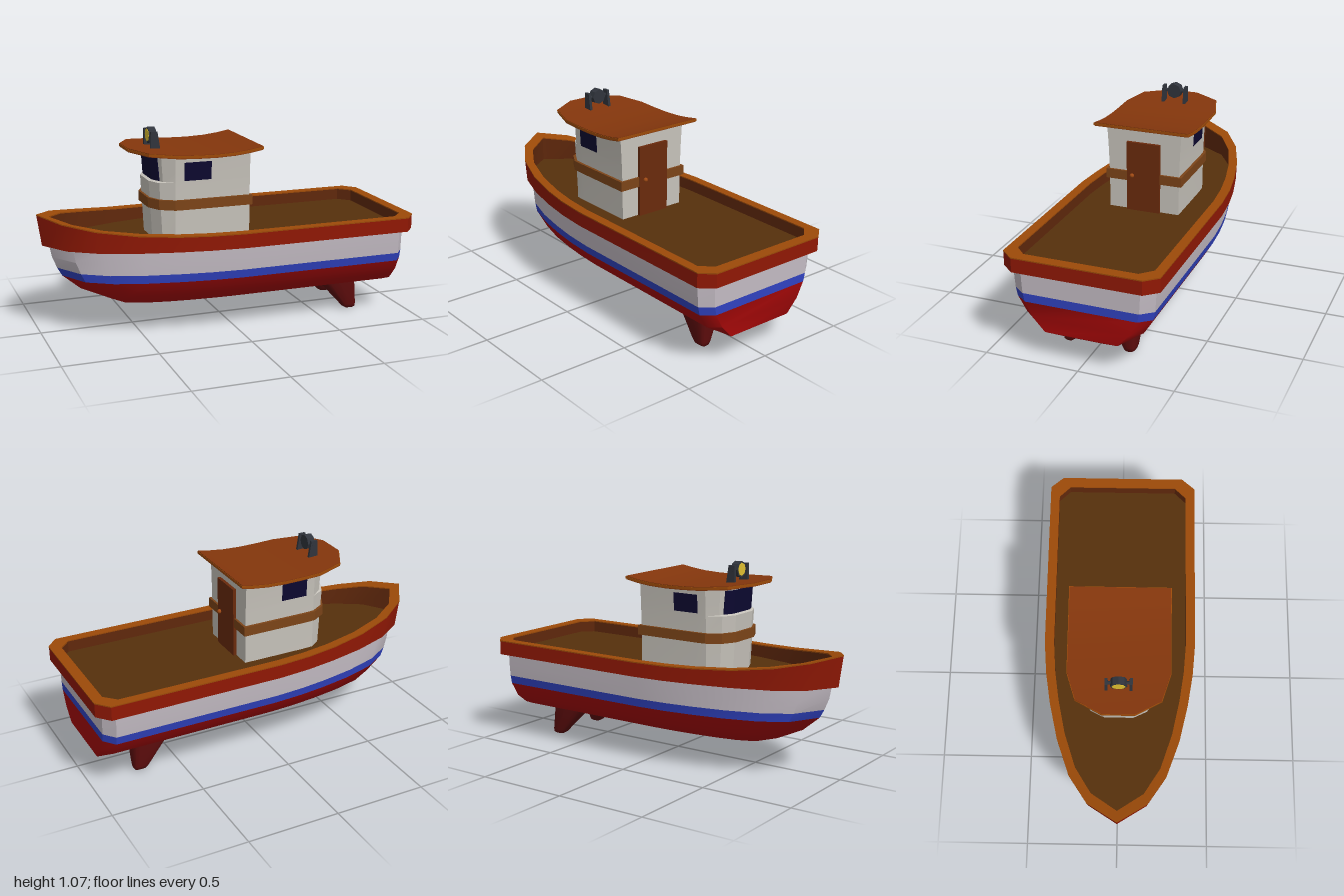
import * as THREE from 'three';
import { toCreasedNormals } from 'three/addons/utils/BufferGeometryUtils.js';

const mat = (color) => new THREE.MeshStandardMaterial({ color });
const HULL = mat(0xc2bac2), WALL = mat(0xc6c2ba), RED = mat(0xa80808), SKEG = mat(0x5c0c0c), BLUE = mat(0x3042c0),
  RAIL = mat(0x901804), LINING = mat(0x60280c), TRIM = mat(0x9c4a08), DECK = mat(0x56300c), ROOF = mat(0x84360c),
  DOOR = mat(0x6a2a0c), KNOB = mat(0xa04a14), BELT = mat(0x7c4418), GLASS = mat(0x0c0830),
  METAL = mat(0x30343c), LENS = mat(0xe0c030);

// Skin a list of closed rings of [x, y, z]; caps close the ends with a fan
function loft(rings, { start = false, end = false, crease = 0.5 } = {}) {
  const n = rings[0].length, pos = rings.flat(2), idx = [];
  for (let i = 0; i < rings.length - 1; i++) {
    for (let j = 0; j < n; j++) {
      const k = (j + 1) % n, a = i * n + j, b = i * n + k;
      idx.push(a, b, b + n, a, b + n, a + n);
    }
  }
  const cap = (r, flip) => {
    const c = pos.length / 3;
    for (let q = 0; q < 3; q++) pos.push(rings[r].reduce((s, p) => s + p[q], 0) / n);
    for (let j = 0; j < n; j++) {
      const a = r * n + j, b = r * n + (j + 1) % n;
      idx.push(c, flip ? b : a, flip ? a : b);
    }
  };
  if (start) cap(0, true);
  if (end) cap(rings.length - 1, false);
  const g = new THREE.BufferGeometry();
  g.setAttribute('position', new THREE.Float32BufferAttribute(pos, 3));
  g.setIndex(idx);
  return toCreasedNormals(g, crease);
}

// Mirror a half outline of [x, z] across z = 0 into a ring at height y(x)
function ringOf(half, y, sz = 1) {
  const h = typeof y === 'function' ? y : () => y;
  const back = half.filter((p) => p[1] > 0).reverse().map(([x, z]) => [x, -z]);
  return [...half, ...back].map(([x, z]) => [x, h(x), z * sz]);
}

// Boat plan: pointed bow, parallel sides, stern corners cut back to a share of the width
const BOW = [[0, 0], [0.1, 0.38], [0.25, 0.62], [0.45, 0.79], [0.65, 0.9], [0.82, 0.965], [1, 1]];
const plan = (bow, w, stern, cut, round = 1, share = 0.83) => [
  ...BOW.map(([s, f]) => [bow * (1 - s), w * Math.pow(f, round)]),
  [stern - cut, w], [stern, w * share],
];

export function createModel() {
  const boat = new THREE.Group();
  const add = (name, geometry, material, x = 0, y = 0, z = 0, parent = boat) => {
    const m = new THREE.Mesh(geometry, material);
    m.name = name;
    m.position.set(x, y, z);
    parent.add(m);
    return m;
  };

  // Hull levels: y, bow x, half width, stern x, bow roundness, transom share
  const levels = [
    [0.122, -0.41, 0.02, 0.9, 0.6, 1], [0.132, -0.47, 0.1, 0.92, 0.6, 0.98], [0.155, -0.63, 0.2, 0.953, 0.6, 0.96],
    [0.225, -0.78, 0.31, 0.955, 0.72, 0.82], [0.305, -0.875, 0.358, 0.955, 0.82, 0.825],
    [0.35, -0.9, 0.367, 0.955, 0.88, 0.83], [0.41, -0.925, 0.372, 0.955, 0.95, 0.83], [0.485, -0.94, 0.375, 0.955, 1, 0.83],
  ].map(([y, b, w, s, r, t]) => ringOf(plan(b, w, s, 0.05, r, t), y));
  add('lowerHull', loft(levels.slice(0, 5), { start: true, crease: 0.9 }), RED);
  add('hullStripe', loft(levels.slice(4, 6)), BLUE);
  add('upperHull', loft(levels.slice(5)), HULL);

  // Bulwark with sheer rising to the bow, wooden lining and a thin cap rail
  const sheer = (dy) => (x) => 0.557 + dy + 0.088 * Math.pow(Math.max(0, -x), 3);
  const inner = plan(-0.94, 0.36, 0.945, 0.06);
  add('bulwark', loft([
    ringOf(plan(-0.92, 0.355, 0.94, 0.05), 0.477),
    ringOf(plan(-0.975, 0.407, 0.998, 0.06), 0.477),
    ringOf(plan(-0.998, 0.407, 0.998, 0.06), sheer(-0.006)),
  ]), RAIL);
  add('bulwarkLining', loft([ringOf(inner, sheer(-0.006)), ringOf(inner, 0.49)]), LINING);
  const capIn = plan(-0.937, 0.358, 0.942, 0.06), capOut = plan(-1, 0.408, 1, 0.06);
  add('capRail', loft([ringOf(capIn, sheer(-0.006)), ringOf(capOut, sheer(-0.006)),
    ringOf(capOut, sheer(0)), ringOf(capIn, sheer(0)), ringOf(capIn, sheer(-0.006))]), TRIM);
  add('deck', loft([ringOf(inner, 0.488), ringOf(inner, 0.49)], { end: true }), DECK);

  // Cabin walls flare toward the roof; the front leans out, then steps back at the window
  const cabin = new THREE.Group();
  cabin.name = 'cabin';
  boat.add(cabin);
  const put = (name, g, m, x, y, z) => add(name, g, m, x, y, z, cabin);
  const walls = (front, o = 0) => [[front - o, 0.08 + o / 2], [front + 0.035 - o * 0.7, 0.155 + o * 0.7],
    [-0.31 - o * 0.3, 0.197 + o], [-0.25, 0.2 + o], [0.1 + o, 0.2 + o]];
  put('cabinWalls', loft([[0.485, 0.975, -0.403], [0.7, 0.985, -0.414], [0.795, 1, -0.419], [0.8, 1.001, -0.4],
    [0.85, 1.012, -0.403], [0.943, 1.04, -0.41]]
    .map(([y, s, f]) => ringOf(walls(f), y, s)), { end: true, crease: 0.3 }), WALL);
  put('cabinBelt', loft([0.655, 0.707].map((y) => ringOf(walls(-0.415, 0.012), y)),
    { start: true, end: true, crease: 0.3 }), BELT);

  // Windows, door and knob
  const pane = (f) => [[f, 0.08], [f + 0.025, 0.133], [-0.34, 0.133]];
  put('frontWindow', loft([[0.802, -0.405], [0.925, -0.413]].map(([y, f]) => ringOf(pane(f), y)),
    { start: true, end: true, crease: 0.3 }), GLASS);
  for (const s of [1, -1]) {
    put('sideWindow', new THREE.BoxGeometry(0.147, 0.097, 0.008), GLASS, -0.188, 0.855, s * 0.2)
      .rotation.x = s * 0.055;
  }
  put('door', new THREE.BoxGeometry(0.025, 0.39, 0.184), DOOR, 0.105, 0.68, 0);
  put('doorKnob', new THREE.SphereGeometry(0.012, 10, 8), KNOB, 0.124, 0.69, 0.06);

  // Sagging roof plank, skinned along x, with a lighter edge trim
  const sag = (x) => 0.948 + 0.025 * Math.pow((x + 0.1) / (x < -0.1 ? 0.43 : 0.25), 2);
  const roof = (grow, top, bottom) => loft(
    [[-0.527, 0.08], [-0.455, 0.215], [-0.31, 0.26], [-0.2, 0.261], [-0.1, 0.261], [0, 0.261], [0.08, 0.261], [0.15, 0.26]]
      .map(([x, w], i, all) => {
        const t = sag(x) + top, b = sag(x) - bottom, z = w + grow;
        const px = x + (i === 0 ? -grow : i === all.length - 1 ? grow : 0);
        return [[px, t, -z], [px, t, z], [px, b, z], [px, b, -z]];
      }), { start: true, end: true });
  put('roof', roof(0, 0.001, 0.019), ROOF);
  put('roofTrim', roof(0.003, -0.002, 0.015), TRIM);

  // Searchlight facing the bow between two tapered brackets
  const lamp = new THREE.Group();
  lamp.name = 'searchlight';
  lamp.position.set(-0.38, 1.022, 0);
  boat.add(lamp);
  const disc = (r0, r1, depth) => toCreasedNormals(
    new THREE.CylinderGeometry(r0, r1, depth, 8).rotateZ(Math.PI / 2), 0.3);
  add('lampBody', disc(0.043, 0.041, 0.04), METAL, 0, 0, 0, lamp);
  add('lampLens', disc(0.034, 0.034, 0.004), LENS, -0.0205, 0, 0, lamp);
  add('lampAxle', new THREE.CylinderGeometry(0.009, 0.009, 0.14, 8).rotateX(Math.PI / 2), METAL, 0, 0, 0, lamp);
  const side = new THREE.Shape([[-0.022, -0.07], [0.031, -0.07], [0.016, 0.026], [-0.02, 0.026]]
    .map((p) => new THREE.Vector2(...p)));
  for (const s of [1, -1]) {
    add('lampBracket', new THREE.ExtrudeGeometry(side, { depth: 0.015, bevelEnabled: false }),
      METAL, 0, 0, s * 0.062 - 0.0075, lamp);
  }

  // Twin skegs, tapering to rounded tips: y, x range, z range
  const skegLevels = [[0, 0.692, 0.742, 0.146, 0.182], [0.008, 0.678, 0.748, 0.136, 0.194],
    [0.025, 0.663, 0.75, 0.126, 0.198], [0.165, 0.54, 0.75, 0.056, 0.198]];
  for (const s of [1, -1]) {
    const rings = skegLevels.map(([y, x0, x1, z0, z1]) => Array.from({ length: 16 }, (_, i) => {
      const a = -i / 16 * Math.PI * 2, sq = (v) => Math.sign(v) * Math.pow(Math.abs(v), 0.55);
      return [(x0 + x1) / 2 + (x1 - x0) / 2 * sq(Math.cos(a)), y,
        s * (z0 + z1) / 2 + (z1 - z0) / 2 * sq(Math.sin(a))];
    }));
    add('skeg', loft(rings, { start: true, crease: 0.9 }), SKEG);
  }
  return boat;
}
